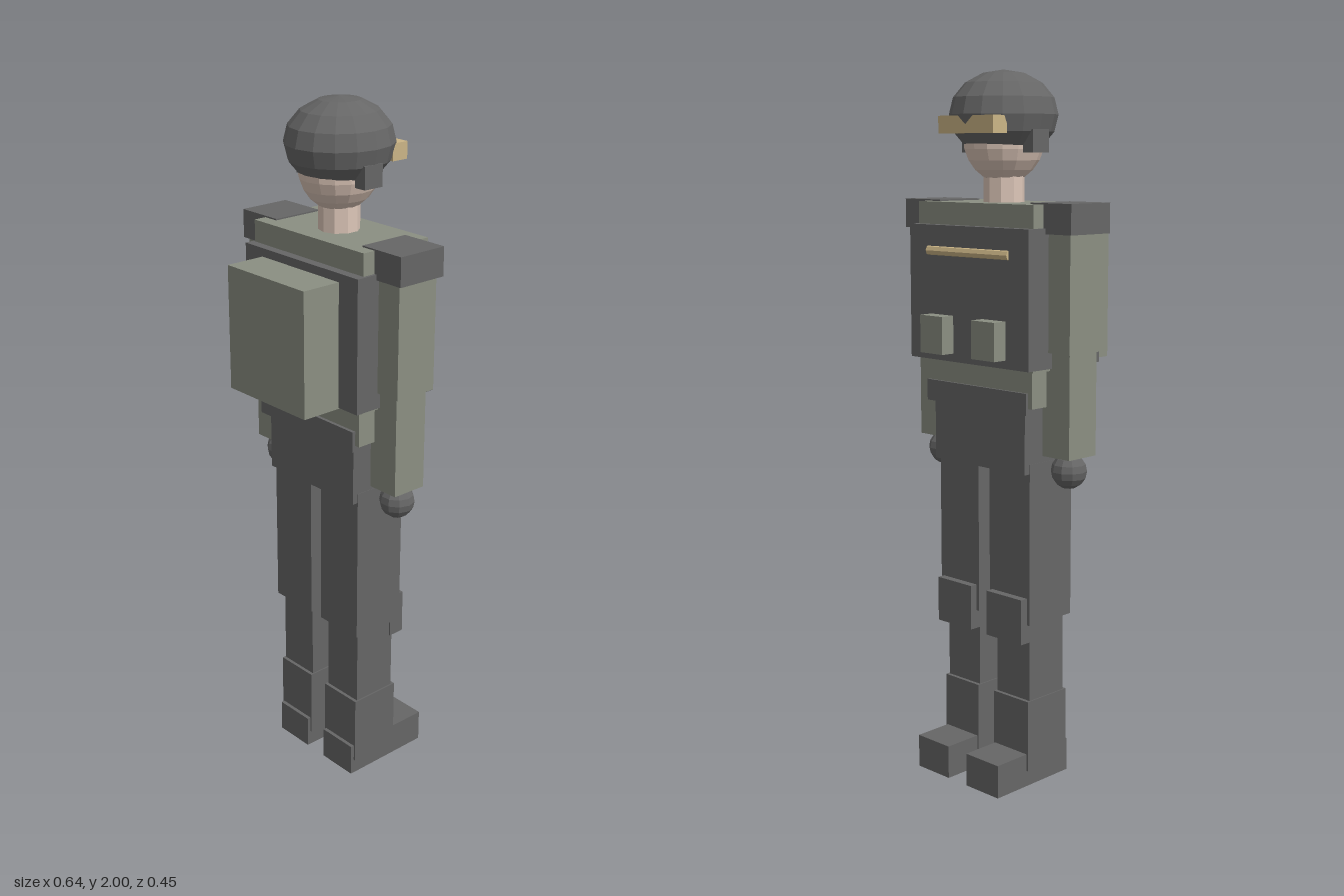
import * as THREE from 'three';

export function createModel() {
  const model = new THREE.Group();
  model.name = 'soldier';

  const material = (name, color) => {
    const m = new THREE.MeshStandardMaterial({ color, flatShading: true });
    m.name = name;
    return m;
  };
  const green = material('fieldGreen', 0x8b8f82);
  const dark = material('charcoal', 0x666666);
  const skin = material('skin', 0xdcc6b8);
  const tan = material('tan', 0xcbb586);

  const add = (name, geometry, mat, x, y, z) => {
    const mesh = new THREE.Mesh(geometry, mat);
    mesh.name = name;
    mesh.position.set(x, y, z);
    model.add(mesh);
    return mesh;
  };
  // Box given by its limits on each axis
  const box = (name, mat, [x0, x1], [y0, y1], [z0, z1]) =>
    add(name, new THREE.BoxGeometry(x1 - x0, y1 - y0, z1 - z0), mat,
      (x0 + x1) / 2, (y0 + y1) / 2, (z0 + z1) / 2);
  // The same box on both sides of the body
  const pair = (name, mat, [x0, x1], y, z) => {
    box(name + 'Left', mat, [x0, x1], y, z);
    box(name + 'Right', mat, [-x1, -x0], y, z);
  };
  const ball = (name, mat, [rx, ry, rz], x, y, z, w, h) =>
    add(name, new THREE.SphereGeometry(1, w, h).scale(rx, ry, rz), mat, x, y, z);

  // Torso; the face, chest and toes point to -z
  box('torso', green, [-0.222, 0.222], [1.2, 1.644], [-0.15, 0.08]);
  box('abdomen', green, [-0.21, 0.21], [1.1, 1.25], [-0.142, 0.08]);
  box('belt', dark, [-0.195, 0.195], [1.082, 1.142], [-0.149, 0.09]);
  box('hips', dark, [-0.177, 0.177], [0.913, 1.1], [-0.135, 0.07]);
  box('vest', dark, [-0.23, 0.23], [1.207, 1.582], [-0.177, 0.107]);
  box('backpack', green, [-0.157, 0.157], [1.204, 1.558], [0.1, 0.227]);
  add('chestStrip', new THREE.CylinderGeometry(0.015, 0.015, 0.314, 8).rotateZ(Math.PI / 2),
    tan, 0, 1.511, -0.171);
  pair('pouch', green, [0.057, 0.145], [1.23, 1.335], [-0.22, -0.17]);

  // Head, helmet and goggles
  add('neck', new THREE.CylinderGeometry(0.057, 0.057, 0.13, 10), skin, 0, 1.69, -0.034);
  ball('head', skin, [0.108, 0.125, 0.118], 0, 1.82, -0.034, 16, 12);
  ball('helmet', dark, [0.146, 0.12, 0.154], 0, 1.88, -0.035, 16, 8);
  pair('earGuard', dark, [0.1, 0.137], [1.778, 1.84], [-0.063, 0]);
  box('goggles', tan, [-0.105, 0.105], [1.829, 1.876], [-0.182, -0.13]);

  // Arms
  pair('shoulderPad', dark, [0.175, 0.32], [1.567, 1.648], [-0.112, 0.042]);
  pair('upperArm', green, [0.19, 0.307], [1.251, 1.572], [-0.1, 0.033]);
  pair('forearm', green, [0.196, 0.294], [0.963, 1.254], [-0.085, 0.023]);
  for (const [side, s] of [['Left', 1], ['Right', -1]])
    ball('hand' + side, dark, [0.05, 0.05, 0.05], 0.246 * s, 0.921, -0.032, 10, 8);

  // Legs and boots
  pair('thigh', dark, [0.022, 0.178], [0.481, 0.94], [-0.116, 0.053]);
  pair('shin', dark, [0.036, 0.164], [0.23, 0.5], [-0.1, 0.037]);
  pair('kneePad', dark, [0.032, 0.168], [0.428, 0.558], [-0.139, -0.09]);
  pair('bootShaft', dark, [0.032, 0.168], [0.046, 0.253], [-0.111, 0.047]);
  pair('bootFoot', dark, [0.037, 0.163], [0, 0.096], [-0.227, 0.058]);

  return model;
}
